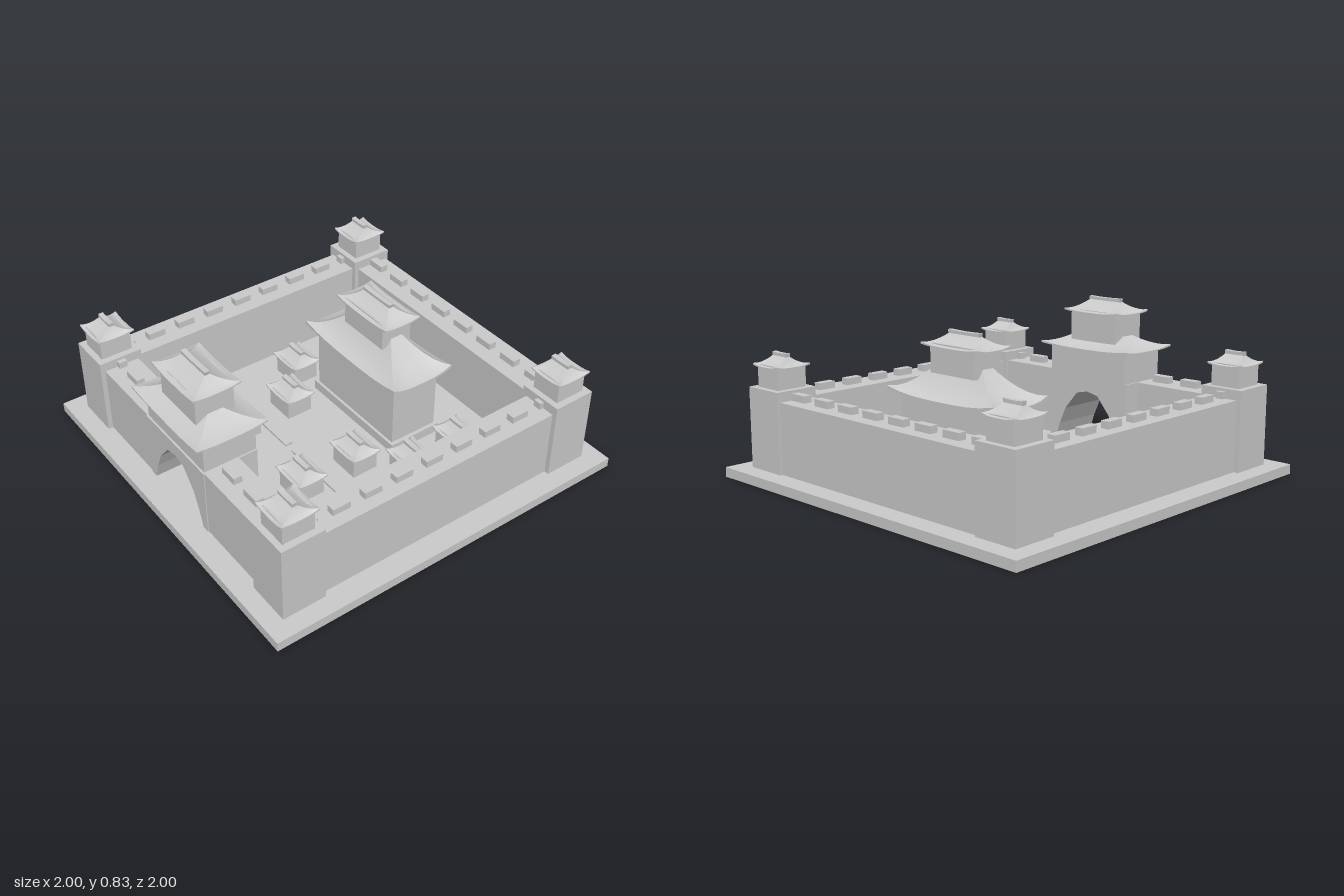
import * as THREE from 'three';

const stone = new THREE.MeshStandardMaterial({ color: 0xcccccc });
stone.name = 'stoneGrey';

function add(parent, name, geometry, x = 0, y = 0, z = 0) {
  const mesh = new THREE.Mesh(geometry, stone);
  mesh.name = name;
  mesh.position.set(x, y, z);
  parent.add(mesh);
  return mesh;
}

// Box given by its centre in plan, its bottom and its top
function block(parent, name, x, z, w, d, y0, y1) {
  return add(parent, name, new THREE.BoxGeometry(w, y1 - y0, d), x, (y0 + y1) / 2, z);
}

// Hipped roof with a concave sweep and lifted corners, lofted from rectangular rings
function roofGeometry(hx, hz, rx, rz, height, lift, rim) {
  const cols = 8, rows = 6;
  const pos = [], index = [];
  const ring = (x, z, y, l) => ({ x, z, y, l });
  const top = [];
  for (let i = 0; i <= rows; i++) {
    const t = i / rows;
    top.push(ring(hx + (rx - hx) * t, hz + (rz - hz) * t, height * Math.pow(t, 1.55), lift * (1 - t) ** 2));
  }
  const low = ring(hx, hz, -rim, lift * 0.7);
  const bands = [[ring(hx * 0.75, hz * 0.75, 0, 0), low], [low, top[0]], top];
  const corners = [[-1, 1], [1, 1], [1, -1], [-1, -1]];
  for (const band of bands) {
    for (let s = 0; s < 4; s++) {
      const a = corners[s], b = corners[(s + 1) % 4], start = pos.length / 3;
      band.forEach((r, i) => {
        for (let c = 0; c <= cols; c++) {
          const u = c / cols, edge = Math.abs(2 * u - 1) ** 3;
          pos.push(r.x * (a[0] + (b[0] - a[0]) * u), r.y + r.l * edge, r.z * (a[1] + (b[1] - a[1]) * u));
          if (i && c) {
            const d = start + i * (cols + 1) + c, e = d - cols - 1;
            index.push(e - 1, e, d, e - 1, d, d - 1);
          }
        }
      });
    }
  }
  const g = new THREE.BufferGeometry();
  g.setAttribute('position', new THREE.Float32BufferAttribute(pos, 3));
  g.setIndex(index);
  g.computeVertexNormals();
  return g;
}

function roof(parent, name, x, y, z, hx, hz, rx, rz, height, lift, rim = 0.006) {
  add(parent, name, roofGeometry(hx, hz, rx, rz, height, lift, rim), x, y, z);
}

// Ridge beam along x, slightly wider at its ends
function ridge(parent, x, y, z, halfLength, h) {
  const s = new THREE.Shape();
  s.moveTo(-halfLength * 0.95, -0.008);
  s.lineTo(halfLength * 0.95, -0.008);
  s.lineTo(halfLength, h);
  s.quadraticCurveTo(0, h - 0.006, -halfLength, h);
  const g = new THREE.ExtrudeGeometry(s, { depth: 0.026, bevelEnabled: false, curveSegments: 6 });
  add(parent, 'ridgeBeam', g.translate(0, 0, -0.013), x, y, z);
}

// Small house with a hipped roof, used on the towers and in the courtyard
function pavilion(parent, name, x, y, z, hx, hz) {
  const g = new THREE.Group();
  g.name = name;
  g.position.set(x, y, z);
  block(g, 'houseWalls', 0, 0, hx * 1.68, hz * 1.68, 0, 0.115);
  roof(g, 'houseRoof', 0, 0.107, 0, hx, hz, 0.052, 0.012, 0.046, 0.012);
  ridge(g, 0, 0.153, 0, 0.055, 0.018);
  parent.add(g);
}

export function createModel() {
  const model = new THREE.Group();
  model.name = 'walledPalace';
  block(model, 'groundSlab', 0, 0, 2, 2, 0, 0.05);

  // Curtain walls
  const wallTop = 0.41;
  for (const s of [-1, 1]) {
    block(model, 'sideWall', s * 0.79, 0, 0.18, 1.4, 0.05, wallTop);
    block(model, 'frontWall', s * 0.47, 0.787, 0.44, 0.185, 0.05, wallTop);
  }
  block(model, 'backWall', 0, -0.795, 1.4, 0.19, 0.05, wallTop);

  // Merlons along the wall tops
  for (let k = -4; k <= 4; k++) {
    const p = k * 0.175;
    for (const s of [-1, 1]) block(model, 'sideMerlon', s * 0.795, p, 0.043, 0.095, wallTop, 0.445);
    if (Math.abs(k) > 1) block(model, 'frontMerlon', p, 0.79, 0.1, 0.043, wallTop, 0.445);
  }
  for (let k = 0; k < 8; k++) block(model, 'backMerlon', (k - 3.5) * 0.178, -0.8, 0.1, 0.043, wallTop, 0.445);

  // Corner towers
  for (const sx of [-1, 1]) {
    for (const sz of [-1, 1]) {
      block(model, 'cornerTower', sx * 0.79, sz * 0.79, 0.23, 0.23, 0.05, 0.46);
      pavilion(model, 'towerHouse', sx * 0.79, 0.46, sz * 0.79, 0.095, 0.1);
    }
  }

  // Gatehouse with a pointed-sided arch cut through it
  const gate = new THREE.Group();
  gate.name = 'gatehouse';
  gate.position.z = 0.74;
  const arch = [[0.22, 0.05], [0.19, 0.14], [0.15, 0.23], [0.07, 0.325], [0, 0.34]];
  const outline = new THREE.Shape();
  outline.moveTo(-0.258, 0.05);
  for (const [x, y] of arch) outline.lineTo(-x, y);
  for (const [x, y] of arch.slice(0, -1).reverse()) outline.lineTo(x, y);
  outline.lineTo(0.258, 0.05);
  outline.lineTo(0.258, wallTop);
  outline.lineTo(-0.258, wallTop);
  const archGeometry = new THREE.ExtrudeGeometry(outline, { depth: 0.29, bevelEnabled: false });
  add(gate, 'archBlock', archGeometry.translate(0, 0, -0.145));
  block(gate, 'lowerStorey', 0, -0.005, 0.5, 0.28, wallTop, 0.575);
  roof(gate, 'lowerRoof', 0, 0.573, 0, 0.29, 0.188, 0.13, 0.02, 0.08, 0.015);
  block(gate, 'upperStorey', 0, 0, 0.3, 0.205, 0.6, 0.765);
  roof(gate, 'upperRoof', 0, 0.757, 0, 0.18, 0.127, 0.1, 0.013, 0.055, 0.013);
  ridge(gate, 0, 0.812, 0, 0.105, 0.018);
  model.add(gate);

  // Main hall on a platform
  const hall = new THREE.Group();
  hall.name = 'mainHall';
  hall.position.z = -0.3;
  block(hall, 'platform', 0, 0, 0.66, 0.3, 0.05, 0.1);
  block(hall, 'lowerStorey', 0, 0, 0.62, 0.27, 0.1, 0.46);
  roof(hall, 'lowerRoof', 0, 0.45, 0, 0.365, 0.18, 0.13, 0.02, 0.175, 0.03, 0.01);
  block(hall, 'upperStorey', 0, 0, 0.3, 0.175, 0.56, 0.705);
  roof(hall, 'upperRoof', 0, 0.693, 0, 0.195, 0.108, 0.1, 0.013, 0.055, 0.013);
  ridge(hall, 0, 0.748, 0, 0.105, 0.018);
  model.add(hall);

  // Courtyard pavilions and low kerbs with a central gap
  for (const s of [-1, 1]) {
    for (const [x, z] of [[0.49, -0.44], [0.49, -0.145], [0.279, 0.043], [0.272, 0.36]]) {
      pavilion(model, 'courtyardPavilion', s * x, 0.05, z, 0.1, 0.084);
    }
    for (const z of [0.23, 0.495]) block(model, 'courtyardKerb', s * 0.332, z, 0.615, 0.04, 0.05, 0.062);
  }
  return model;
}
